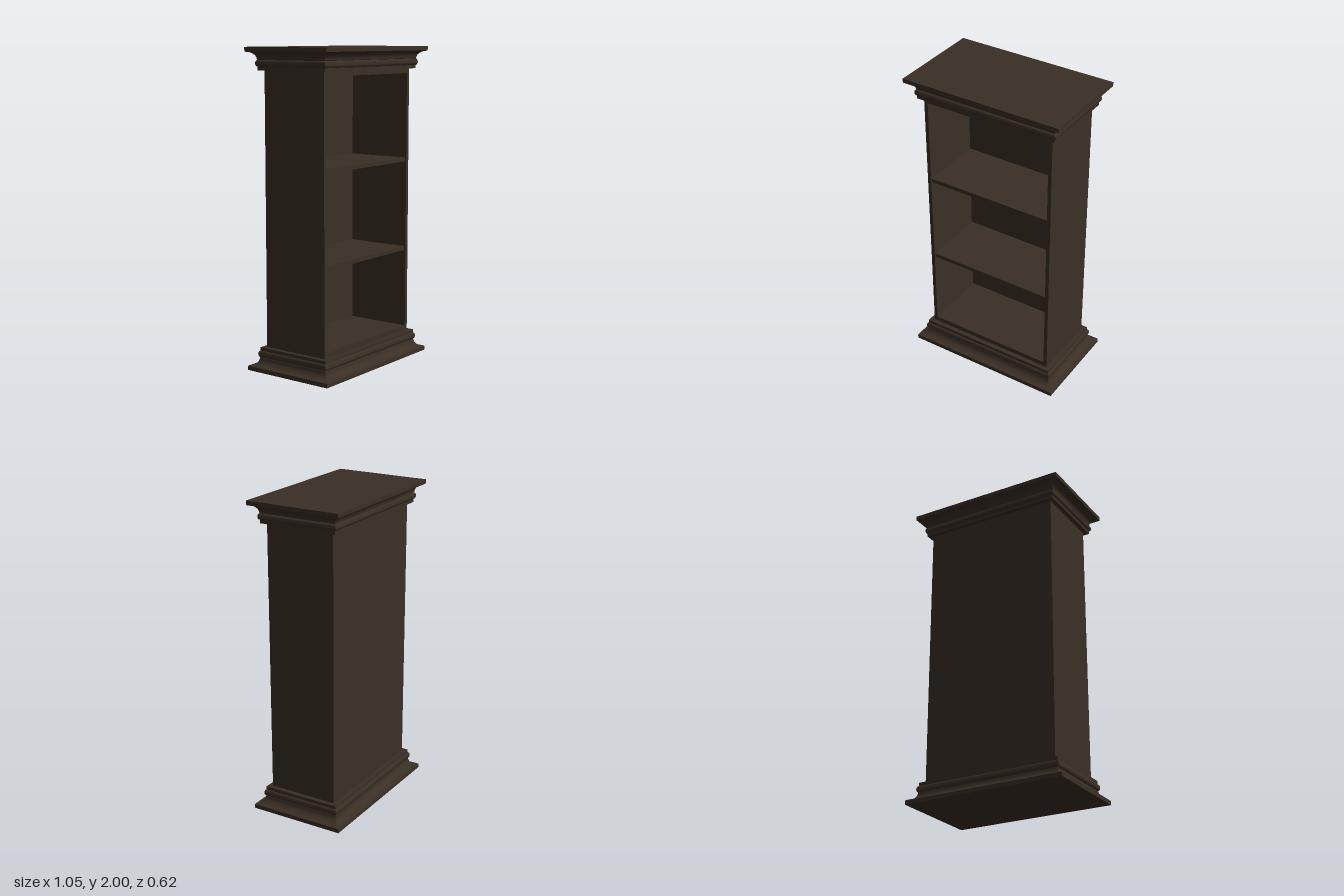
import * as THREE from 'three';
import { toCreasedNormals } from 'three/addons/utils/BufferGeometryUtils.js';

const W = 0.442, D = 0.227;          // half width and half depth of the case
const BOARD = 0.024;                 // board thickness
const BOTTOM = 0.143, TOP = 1.86;    // case height between the mouldings

// Moulding profile, from the outer slab towards the case: [outset, height]
function mouldingProfile() {
  const p = [[0.085, 0], [0.085, 0.026], [0.08, 0.03]];
  for (let i = 1; i <= 6; i++) {     // cove
    const a = (i / 6) * Math.PI / 2;
    p.push([0.08 - 0.048 * Math.sin(a), 0.078 - 0.048 * Math.cos(a)]);
  }
  for (let i = 0; i <= 8; i++) {     // bead
    const a = -Math.PI / 2 + (i / 8) * Math.PI;
    p.push([0.029 + 0.011 * Math.cos(a), 0.101 + 0.021 * Math.sin(a)]);
  }
  p.push([0.029, 0.143]);
  return p;
}

// Sweep the profile round a rectangle and close it above and below
function mouldingGeometry(profile) {
  const pos = [];
  const ring = ([o, y]) => [[-1, 1], [1, 1], [1, -1], [-1, -1]]
    .map(([sx, sz]) => [sx * (W + o), y, sz * (D + o)]);
  const quad = (a, b, c, d) => pos.push(...a, ...b, ...c, ...a, ...c, ...d);
  const rings = profile.map(ring);
  for (let i = 0; i < rings.length - 1; i++) {
    const lo = rings[i], hi = rings[i + 1];
    for (let k = 0; k < 4; k++) {
      const n = (k + 1) % 4;
      quad(lo[k], lo[n], hi[n], hi[k]);
    }
  }
  const first = rings[0], last = rings[rings.length - 1];
  quad(first[3], first[2], first[1], first[0]);
  quad(last[0], last[1], last[2], last[3]);
  const geo = new THREE.BufferGeometry();
  geo.setAttribute('position', new THREE.Float32BufferAttribute(pos, 3));
  return toCreasedNormals(geo, 0.5);
}

export function createModel() {
  const group = new THREE.Group();
  group.name = 'bookcase';
  const wood = new THREE.MeshStandardMaterial({ color: 0x3a2f25 });
  wood.name = 'dark wood';

  const add = (name, geo) => {
    const mesh = new THREE.Mesh(geo, wood);
    mesh.name = name;
    group.add(mesh);
    return mesh;
  };
  // Box given by its limits on each axis
  const board = (name, x0, x1, y0, y1, z0, z1) =>
    add(name, new THREE.BoxGeometry(x1 - x0, y1 - y0, z1 - z0))
      .position.set((x0 + x1) / 2, (y0 + y1) / 2, (z0 + z1) / 2);

  // Base and cornice share one profile, mirrored top to bottom
  const profile = mouldingProfile();
  add('baseMoulding', mouldingGeometry(profile));
  add('cornice', mouldingGeometry(profile.map(([o, y]) => [o, 2 - y * (2 - TOP) / BOTTOM]).reverse()));

  // Case
  const inX = W - BOARD, backZ = -D + BOARD;
  board('leftSide', inX, W, BOTTOM, TOP, -D, D);
  board('rightSide', -W, -inX, BOTTOM, TOP, -D, D);
  board('backPanel', -inX, inX, BOTTOM, TOP, -D, backZ);
  board('floorBoard', -inX, inX, BOTTOM, 0.175, backZ, D);
  board('topBoard', -inX, inX, 1.83, TOP, backZ, D);

  // Shelves
  [['lowerShelf', 0.68], ['upperShelf', 1.262]].forEach(([name, y]) =>
    board(name, -inX, inX, y, y + 0.026, backZ, D - 0.01));

  return group;
}
